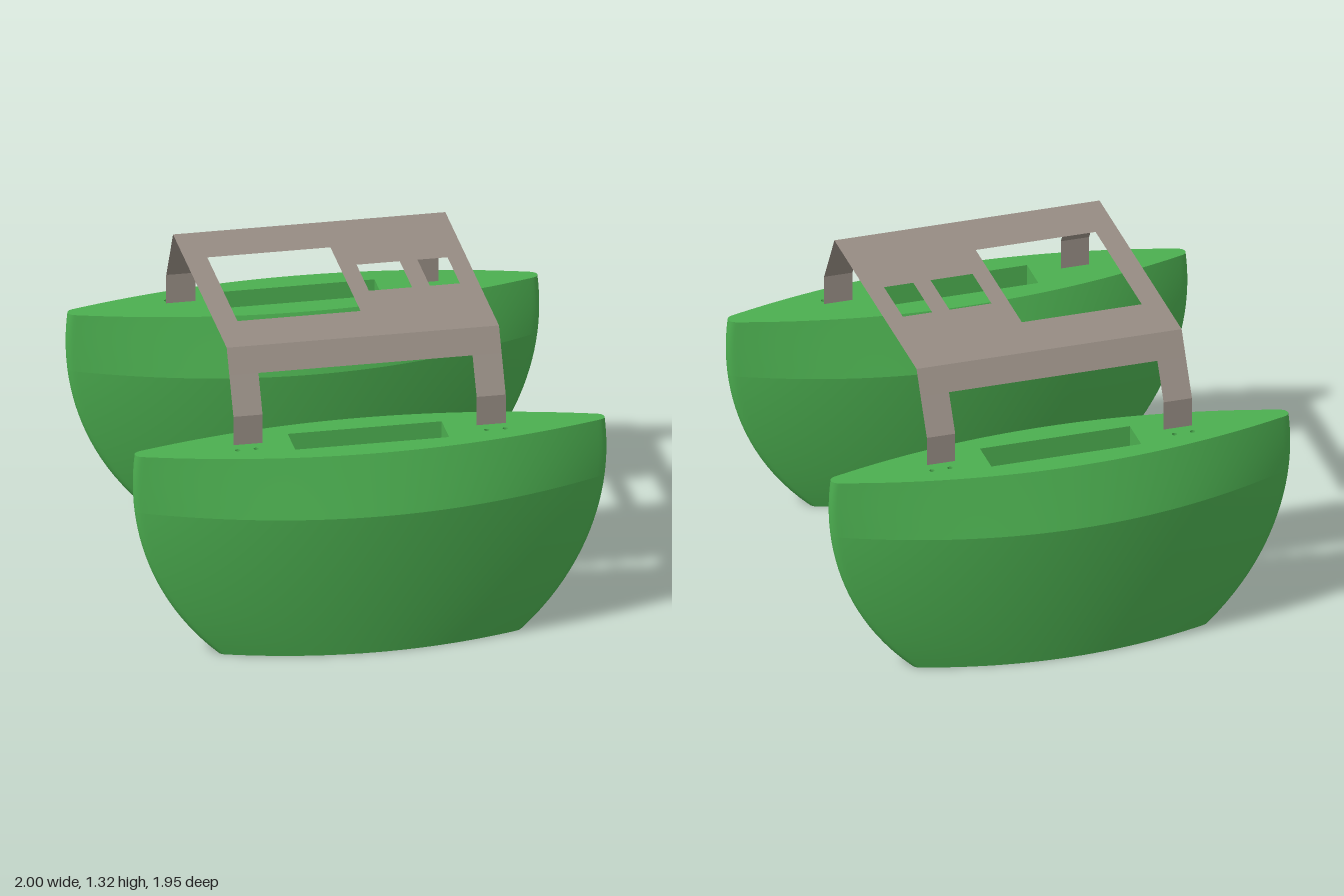
import * as THREE from 'three';

const DECK = 0.93, CHINE = 0.675, FLOOR = 0.65, HULL_Z = 0.72, SEG = 112;
const POCKET = [-0.33, 0.32, -0.08, 0.08];

const green = new THREE.MeshStandardMaterial({ color: 0x4caf50 });
const grey = new THREE.MeshStandardMaterial({ color: 0x968c83, side: THREE.DoubleSide });
const blue = new THREE.MeshStandardMaterial({ color: 0xb0b5d8 });

function add(parent, name, geometry, material) {
  const mesh = new THREE.Mesh(geometry, material);
  mesh.name = name;
  parent.add(mesh);
  return mesh;
}

// Half width amidships and half length of the hull at a given height
function halfWidth(y) {
  if (y > CHINE) return 0.255 - 0.075 * (y - CHINE) / (DECK - CHINE);
  const t = y / CHINE;
  return 0.13 + 0.125 * t + 0.035 * t * (1 - t);
}
const halfLength = y => Math.sqrt(1.07 ** 2 - (y - 0.8) ** 2) - 0.07;

// Lens-shaped waterline with small rounded tips
function waterline(y) {
  const W = halfWidth(y), L = halfLength(y), r = 0.022, ring = [];
  for (let i = 0; i < SEG; i++) {
    const a = i / SEG * Math.PI * 2, x = L * Math.cos(a);
    const d = Math.min(r, Math.max(0, L - Math.abs(x)));
    const w = (W - r) * Math.sin(a) ** 2 + Math.sqrt(d * (2 * r - d));
    ring.push([x, w * Math.sign(Math.sin(a))]);
  }
  return ring;
}

// Closed skin through rings of [x, z] at rising heights
function skin(rings, heights) {
  const n = rings[0].length, pos = [], idx = [];
  rings.forEach((ring, j) => ring.forEach(([x, z]) => pos.push(x, heights[j], z)));
  for (let j = 0; j < rings.length - 1; j++)
    for (let i = 0; i < n; i++) {
      const a = j * n + i, b = j * n + (i + 1) % n;
      idx.push(a, a + n, b, b, a + n, b + n);
    }
  const g = new THREE.BufferGeometry();
  g.setAttribute('position', new THREE.Float32BufferAttribute(pos, 3));
  g.setIndex(idx);
  g.computeVertexNormals();
  return g;
}

function hullBand(y0, y1, steps) {
  const ys = Array.from({ length: steps + 1 }, (_, i) => y0 + (y1 - y0) * i / steps);
  return skin(ys.map(waterline), ys);
}

const rectRing = ([x0, x1, z0, z1]) => [[x0, z0], [x1, z0], [x1, z1], [x0, z1]];
const circleRing = (cx, cz, r) => Array.from({ length: 16 }, (_, i) => {
  const a = i / 16 * Math.PI * 2;
  return [cx + r * Math.cos(a), cz + r * Math.sin(a)];
});

// Flat horizontal plate with holes, facing up or down
function plate(ring, holes, y, up = true) {
  const toPts = r => r.map(([x, z]) => new THREE.Vector2(x, up ? -z : z));
  const shape = new THREE.Shape(toPts(ring));
  holes.forEach(h => shape.holes.push(new THREE.Path(toPts(h))));
  return new THREE.ShapeGeometry(shape).rotateX(up ? -Math.PI / 2 : Math.PI / 2).translate(0, y, 0);
}

// Inward-facing walls of a hole
function well(ring, y0, y1) {
  const r = [...ring].reverse();
  const g = skin([r, r], [y0, y1]).toNonIndexed();
  g.computeVertexNormals();
  return g;
}

function makeHull(side) {
  const hull = new THREE.Group();
  const pocket = rectRing(POCKET), drain = circleRing(-0.17, 0, 0.012);
  const screws = [-0.565, -0.487, 0.487, 0.565].map(x => circleRing(x, side * 0.04, 0.011));

  add(hull, 'lowerHull', hullBand(0, CHINE, 16), green);
  add(hull, 'upperHull', hullBand(CHINE, DECK, 6), green);
  add(hull, 'deck', plate(waterline(DECK), [pocket, ...screws], DECK), green);
  add(hull, 'hullBottom', plate(waterline(0), [drain], 0, false), green);

  // Equipment bay with a drain running down through the hull
  add(hull, 'bayWalls', well(pocket, FLOOR, DECK), green);
  add(hull, 'bayFloor', plate(pocket, [drain], FLOOR), green);
  add(hull, 'drain', well(drain, 0, FLOOR), green);
  add(hull, 'battery', new THREE.BoxGeometry(0.41, 0.14, 0.14), blue).position.set(0.105, FLOOR + 0.07, 0);

  // Screw holes beside the bracket feet
  screws.forEach(s => {
    add(hull, 'screwHole', well(s, DECK - 0.06, DECK), green);
    add(hull, 'screwHoleFloor', plate(s, [], DECK - 0.06), green);
  });
  hull.position.z = side * HULL_Z;
  return hull;
}

// Flat quad strip between two edges [y, z]
function sheet(x0, x1, [ya, za], [yb, zb]) {
  const g = new THREE.BufferGeometry();
  g.setAttribute('position', new THREE.Float32BufferAttribute(
    [x0, ya, za, x1, ya, za, x1, yb, zb, x0, yb, zb], 3));
  g.setIndex(za > 0 ? [0, 1, 2, 0, 2, 3] : [0, 2, 1, 0, 3, 2]);
  g.computeVertexNormals();
  return g;
}

function makePlatform() {
  const platform = new THREE.Group();
  const X = 0.575, IN = 0.452, TOP = 1.315;
  const windows = [[-0.48, 0.04, -0.323, 0.323], [0.113, 0.295, -0.132, 0.132], [0.37, 0.497, -0.132, 0.132]];
  add(platform, 'topPanel', plate(rectRing([-X, X, -X, X]), windows.map(rectRing), TOP), grey);

  // Folded sloping apron and the two legs on each side
  for (const s of [1, -1]) {
    const fold = [TOP, s * X], cut = [1.215, s * 0.632], knee = [1.065, s * HULL_Z], foot = [0.936, s * HULL_Z];
    add(platform, 'apron', sheet(-X, X, cut, fold), grey);
    for (const [a, b] of [[-X, -IN], [IN, X]]) {
      add(platform, 'slopingLeg', sheet(a, b, knee, cut), grey);
      add(platform, 'foot', sheet(a, b, foot, knee), grey);
    }
  }
  return platform;
}

export function createModel() {
  const model = new THREE.Group();
  model.name = 'catamaran';
  for (const side of [1, -1]) {
    const hull = makeHull(side);
    hull.name = side > 0 ? 'frontHull' : 'backHull';
    model.add(hull);
  }
  const platform = makePlatform();
  platform.name = 'platform';
  model.add(platform);
  return model;
}
